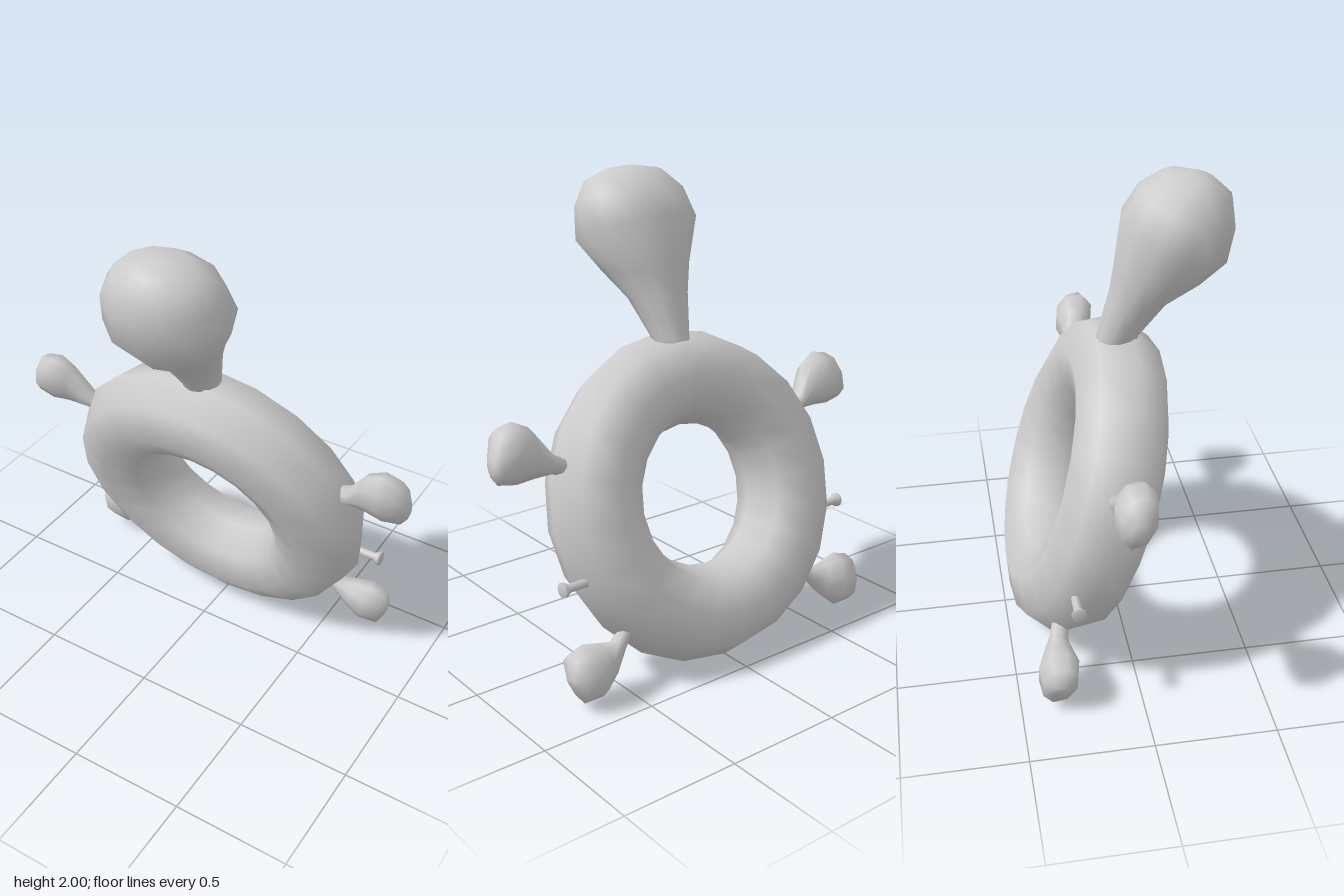
import * as THREE from 'three';

const material = new THREE.MeshStandardMaterial({ color: 0xcccccc });
const LEAN = THREE.MathUtils.degToRad(18.3);
const CENTRE_Y = 0.667;
const V = (x, y, z) => new THREE.Vector3(x, y, z);

// Closed balloon skin through elliptical sections, each [edgeA, edgeB, halfWidth].
// Edges span one ellipse axis; the other axis runs along "side".
function loft(sections, side, sides) {
  const mids = sections.map(([a, b]) => a.clone().add(b).multiplyScalar(0.5));
  const last = sections.length - 1;
  const axis = mids[last].clone().sub(mids[0]);
  const s = side.clone();
  if (sections[1][0].clone().sub(mids[1]).cross(s).dot(axis) < 0) s.negate();

  const pos = [];
  const index = [];
  sections.forEach(([a, , w], i) => {
    const radius = a.clone().sub(mids[i]);
    for (let j = 0; j < sides; j++) {
      const t = (j / sides) * Math.PI * 2;
      const p = mids[i].clone().addScaledVector(radius, Math.cos(t)).addScaledVector(s, w * Math.sin(t));
      pos.push(p.x, p.y, p.z);
    }
  });
  for (let i = 0; i < last; i++) {
    for (let j = 0; j < sides; j++) {
      const a = i * sides + j;
      const b = i * sides + ((j + 1) % sides);
      index.push(a, b, a + sides, b, b + sides, a + sides);
    }
  }
  // End caps
  const n = sections.length * sides;
  pos.push(...mids[0].toArray(), ...mids[last].toArray());
  for (let j = 0; j < sides; j++) {
    const k = (j + 1) % sides;
    index.push(n, k, j, n + 1, last * sides + j, last * sides + k);
  }
  const geometry = new THREE.BufferGeometry();
  geometry.setAttribute('position', new THREE.Float32BufferAttribute(pos, 3));
  geometry.setIndex(index);
  geometry.computeVertexNormals();
  return geometry;
}

export function createModel() {
  const model = new THREE.Group();
  model.name = 'inflatableRing';
  const add = (name, geometry) => {
    const mesh = new THREE.Mesh(geometry, material);
    mesh.name = name;
    model.add(mesh);
    return mesh;
  };

  // Swim ring, leaning forward
  const ring = add('ring', new THREE.TorusGeometry(0.5, 0.2, 8, 20));
  ring.rotation.x = LEAN;
  ring.position.set(0, CENTRE_Y, -0.138);

  // Head on a bent neck: front z, y, back z, y, half width
  const head = [
    [0.07, 1.22, -0.09, 1.22, 0.07],
    [0.11, 1.33, -0.07, 1.33, 0.08],
    [0.22, 1.47, -0.02, 1.5, 0.13],
    [0.36, 1.56, 0.0, 1.62, 0.185],
    [0.46, 1.66, 0.03, 1.83, 0.272],
    [0.49, 1.8, 0.1, 1.94, 0.245],
    [0.475, 1.91, 0.2, 2.0, 0.175],
    [0.41, 1.97, 0.31, 2.0, 0.07],
  ].map(([fz, fy, bz, by, w]) => [V(0, fy, fz), V(0, by, bz), w]);
  add('head', loft(head, V(1, 0, 0), 12));

  // Flippers: upper edge x, y, lower edge x, y, half thickness
  const flippers = {
    FrontFlipper: [
      [0.57, 0.93, 0.58, 0.87, 0.035],
      [0.655, 0.975, 0.67, 0.9, 0.045],
      [0.73, 1.09, 0.75, 0.9, 0.065],
      [0.8, 1.125, 0.83, 0.895, 0.085],
      [0.875, 1.11, 0.91, 0.91, 0.072],
      [0.918, 1.02, 0.925, 0.95, 0.03],
    ],
    RearFlipper: [
      [0.48, 0.29, 0.44, 0.25, 0.035],
      [0.55, 0.225, 0.5, 0.19, 0.04],
      [0.62, 0.24, 0.575, 0.095, 0.065],
      [0.69, 0.255, 0.64, 0.04, 0.085],
      [0.765, 0.235, 0.73, 0.04, 0.072],
      [0.775, 0.15, 0.765, 0.11, 0.03],
    ],
  };
  const slope = Math.tan(LEAN);
  const sideways = V(0, -Math.sin(LEAN), Math.cos(LEAN));
  for (const [label, sign] of [['left', 1], ['right', -1]]) {
    for (const [part, rows] of Object.entries(flippers)) {
      const at = (x, y) => V(sign * x, y, -0.165 + (y - CENTRE_Y) * slope);
      const sections = rows.map(([ax, ay, bx, by, w]) => [at(ax, ay), at(bx, by), w]);
      add(label + part, loft(sections, sideways, 8));
    }

    // Flared air valve
    const profile = [[0, 0], [0.018, 0], [0.018, 0.08], [0.032, 0.105], [0.03, 0.115], [0, 0.115]];
    const valve = add(label + 'Valve', new THREE.LatheGeometry(profile.map(([r, h]) => new THREE.Vector2(r, h)), 8));
    valve.rotation.z = -sign * Math.PI / 2;
    valve.position.set(sign * 0.635, 0.49, -0.26);
  }
  return model;
}
